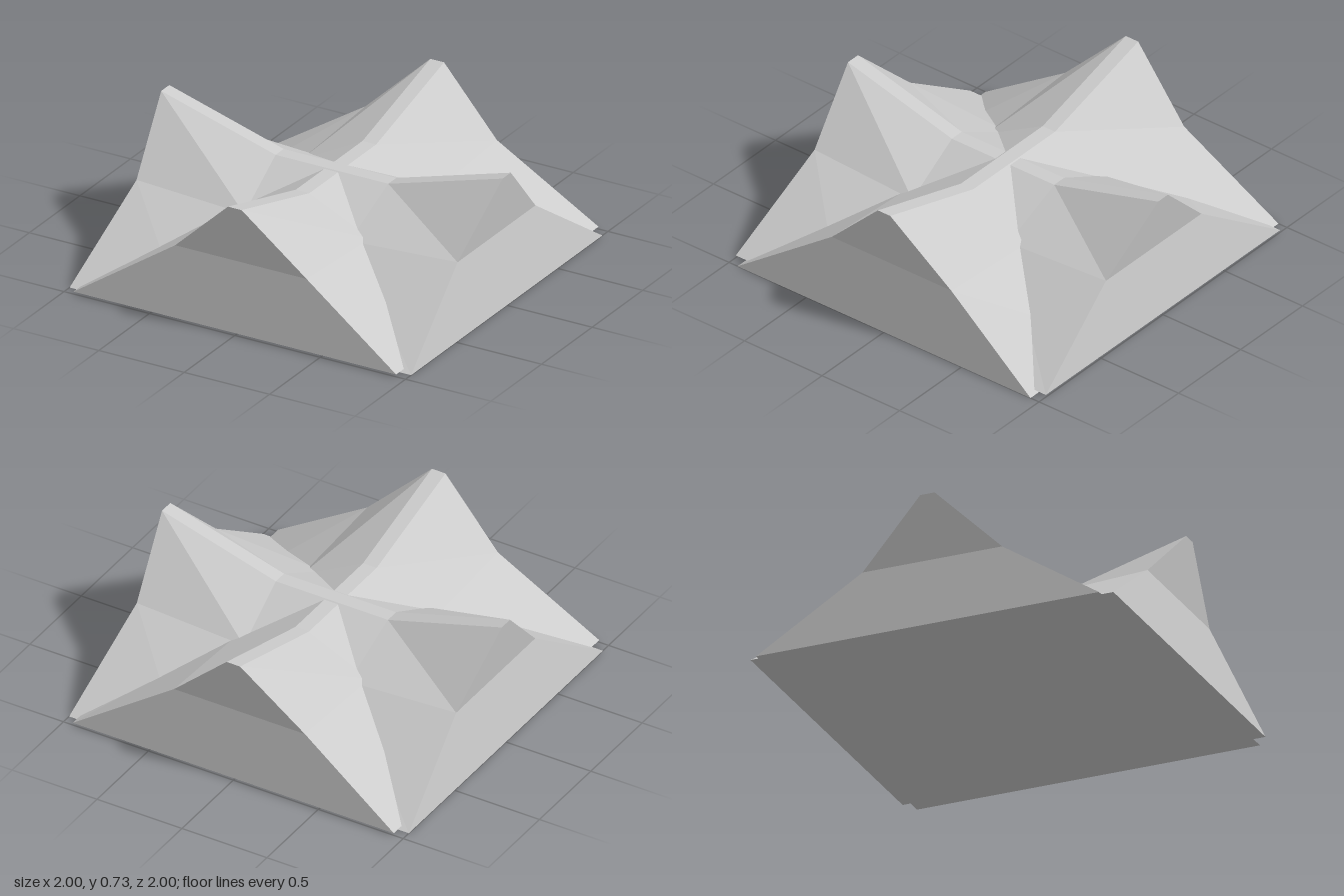
import * as THREE from 'three';

const material = new THREE.MeshStandardMaterial({ color: 0xcccccc, flatShading: true });

// One saddle-backed gable running along x, lofted through four cross-sections
function gableGeometry({ base, eave, ridge, midEave, midRidge }) {
  const section = (xBase, xEave, xRidge, e, r) => [
    [xBase, base, -0.945], [xEave, e, -0.385], [xRidge, r, -0.04],
    [xRidge, r, 0.04], [xEave, e, 0.385], [xBase, base, 0.945],
  ];
  const sections = [
    section(-1, -0.94, -1, eave, ridge),
    section(-0.33, -0.31, -0.33, midEave, midRidge),
    section(0.33, 0.31, 0.33, midEave, midRidge),
    section(1, 0.94, 1, eave, ridge),
  ];
  const positions = [];
  const quad = (a, b, c, d) => positions.push(...a, ...b, ...c, ...a, ...c, ...d);

  // Slopes, ridge and underside
  for (let s = 0; s < 3; s++) {
    const p = sections[s], q = sections[s + 1];
    for (let i = 0; i < 6; i++) {
      const j = (i + 1) % 6;
      quad(p[i], p[j], q[j], q[i]);
    }
  }
  // Ends, folded inward at the eave line
  const first = sections[0], last = sections[3];
  for (const i of [0, 1]) {
    quad(last[i], last[i + 1], last[4 - i], last[5 - i]);
    quad(first[5 - i], first[4 - i], first[i + 1], first[i]);
  }

  const geometry = new THREE.BufferGeometry();
  geometry.setAttribute('position', new THREE.Float32BufferAttribute(positions, 3));
  geometry.computeVertexNormals();
  return geometry;
}

export function createModel() {
  const model = new THREE.Group();
  model.name = 'crossGableRoof';

  // Gable from side to side
  const sideGable = new THREE.Mesh(
    gableGeometry({ base: 0, eave: 0.385, ridge: 0.725, midEave: 0.35, midRidge: 0.532 }), material);
  sideGable.name = 'sideToSideGable';

  // Gable from front to back, sitting slightly differently in height
  const frontGable = new THREE.Mesh(
    gableGeometry({ base: 0.013, eave: 0.385, ridge: 0.71, midEave: 0.35, midRidge: 0.528 }), material);
  frontGable.name = 'frontToBackGable';
  frontGable.rotation.y = Math.PI / 2;

  model.add(sideGable, frontGable);
  return model;
}
